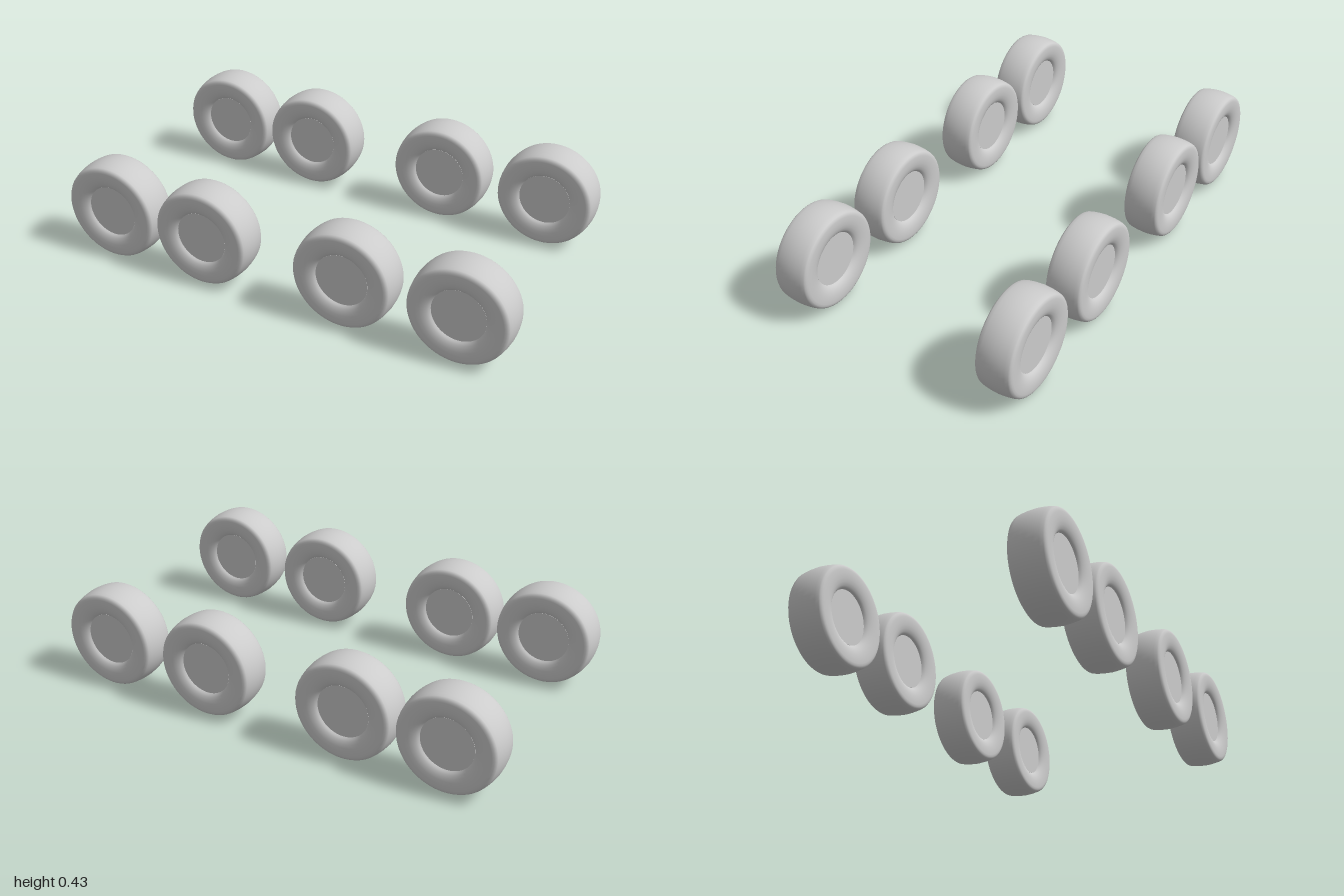
import * as THREE from 'three';

const AXLES = [-0.784, -0.343, 0.295, 0.783]; // axle positions along x
const HEIGHT = 0.222, TRACK = 0.466;          // wheel centre height and side offset
const HUB_RADIUS = 0.112, HUB_HALF = 0.057;

// Half of the tyre section: [radius, distance from the mid plane], hub edge to tread crown
const HALF = [
  [0.112, 0.056], [0.117, 0.063], [0.125, 0.069], [0.137, 0.074], [0.152, 0.0775],
  [0.17, 0.079], [0.187, 0.0785], [0.196, 0.077], [0.203, 0.073], [0.207, 0.067],
  [0.2105, 0.053], [0.214, 0.03], [0.216, 0],
];

export function createModel() {
  const model = new THREE.Group();
  model.name = 'wheelSet';
  const material = new THREE.MeshStandardMaterial({ color: 0xcccccc });

  // Mirrored section, ordered from the lower sidewall outwards to the upper one
  const section = [
    ...HALF.map(([r, h]) => new THREE.Vector2(r, -h)),
    ...HALF.slice(0, -1).reverse().map(([r, h]) => new THREE.Vector2(r, h)),
  ];
  const tyreGeometry = new THREE.LatheGeometry(section, 64).rotateX(Math.PI / 2);
  const hubGeometry = new THREE.CylinderGeometry(HUB_RADIUS, HUB_RADIUS, HUB_HALF * 2, 64)
    .rotateX(Math.PI / 2);

  // Four wheels on each side
  for (const side of [1, -1]) {
    for (const x of AXLES) {
      const wheel = new THREE.Group();
      wheel.name = 'wheel';
      const tyre = new THREE.Mesh(tyreGeometry, material);
      tyre.name = 'tyre';
      const hub = new THREE.Mesh(hubGeometry, material);
      hub.name = 'hub';
      wheel.add(tyre, hub);
      wheel.position.set(x, HEIGHT, side * TRACK);
      model.add(wheel);
    }
  }
  return model;
}
